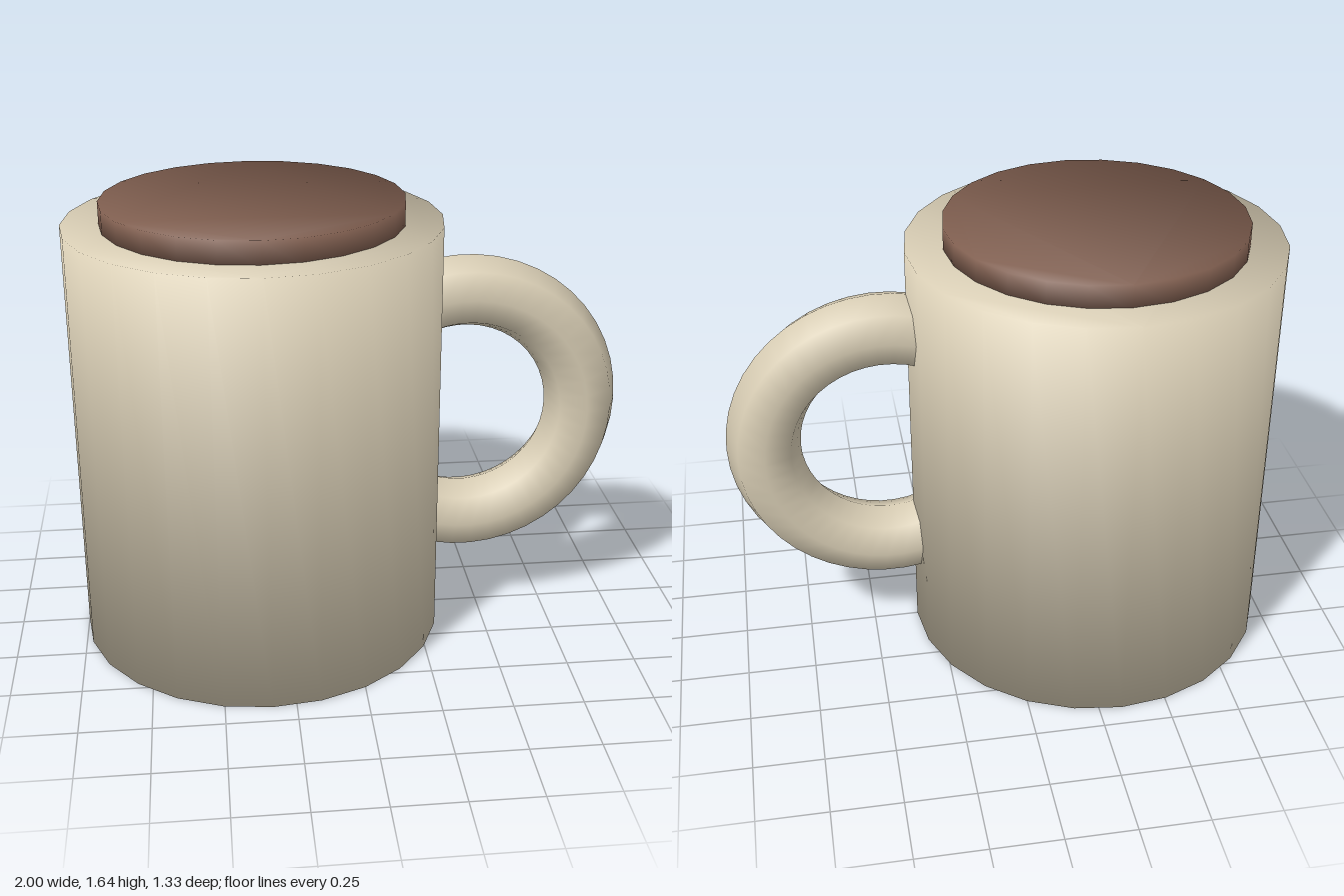
import * as THREE from 'three';
import { mergeVertices } from 'three/addons/utils/BufferGeometryUtils.js';

const ceramic = new THREE.MeshStandardMaterial({ color: 0xd9ceb5 });
ceramic.name = 'cream ceramic';
const coffee = new THREE.MeshStandardMaterial({ color: 0x7f5e4f });
coffee.name = 'coffee brown';

const SIDES = 24;
const AXIS_X = -0.333;

// Closed 24-sided drum whose shading runs smoothly over its rims
function drum(radius, bottom, top) {
  const points = Array.from({ length: SIDES }, (_, i) => {
    const a = (i / SIDES) * Math.PI * 2;
    return new THREE.Vector2(Math.cos(a) * radius, Math.sin(a) * radius);
  });
  let geo = new THREE.ExtrudeGeometry(new THREE.Shape(points), {
    depth: top - bottom, bevelEnabled: false, steps: 1,
  });
  geo.rotateX(-Math.PI / 2);
  geo.deleteAttribute('uv');
  geo.deleteAttribute('normal');
  geo.clearGroups();
  geo = mergeVertices(geo, 1e-4);
  geo.computeVertexNormals();
  // Rim normals lean halfway between the wall and the cap
  const p = geo.attributes.position;
  const n = new THREE.Vector3();
  for (let i = 0; i < p.count; i++) {
    const up = p.getY(i) > (top - bottom) / 2 ? 1 : -1;
    n.set(p.getX(i) / radius, up, p.getZ(i) / radius).normalize();
    geo.attributes.normal.setXYZ(i, n.x, n.y, n.z);
  }
  geo.translate(AXIS_X, bottom, 0);
  return geo;
}

function addPart(group, name, geometry, material) {
  const mesh = new THREE.Mesh(geometry, material);
  mesh.name = name;
  group.add(mesh);
  return mesh;
}

export function createModel() {
  const mug = new THREE.Group();
  mug.name = 'mug';

  addPart(mug, 'body', drum(0.667, 0, 1.56), ceramic);
  addPart(mug, 'coffee', drum(0.533, 1.55, 1.64), coffee);

  // Handle: ring section with both ends buried in the body
  const arc = Math.PI * 1.4;
  const ring = new THREE.TorusGeometry(0.443, 0.133, 8, 32, arc);
  ring.rotateZ(-arc / 2);
  addPart(mug, 'handle', ring, ceramic).position.set(0.424, 0.835, 0);

  return mug;
}
